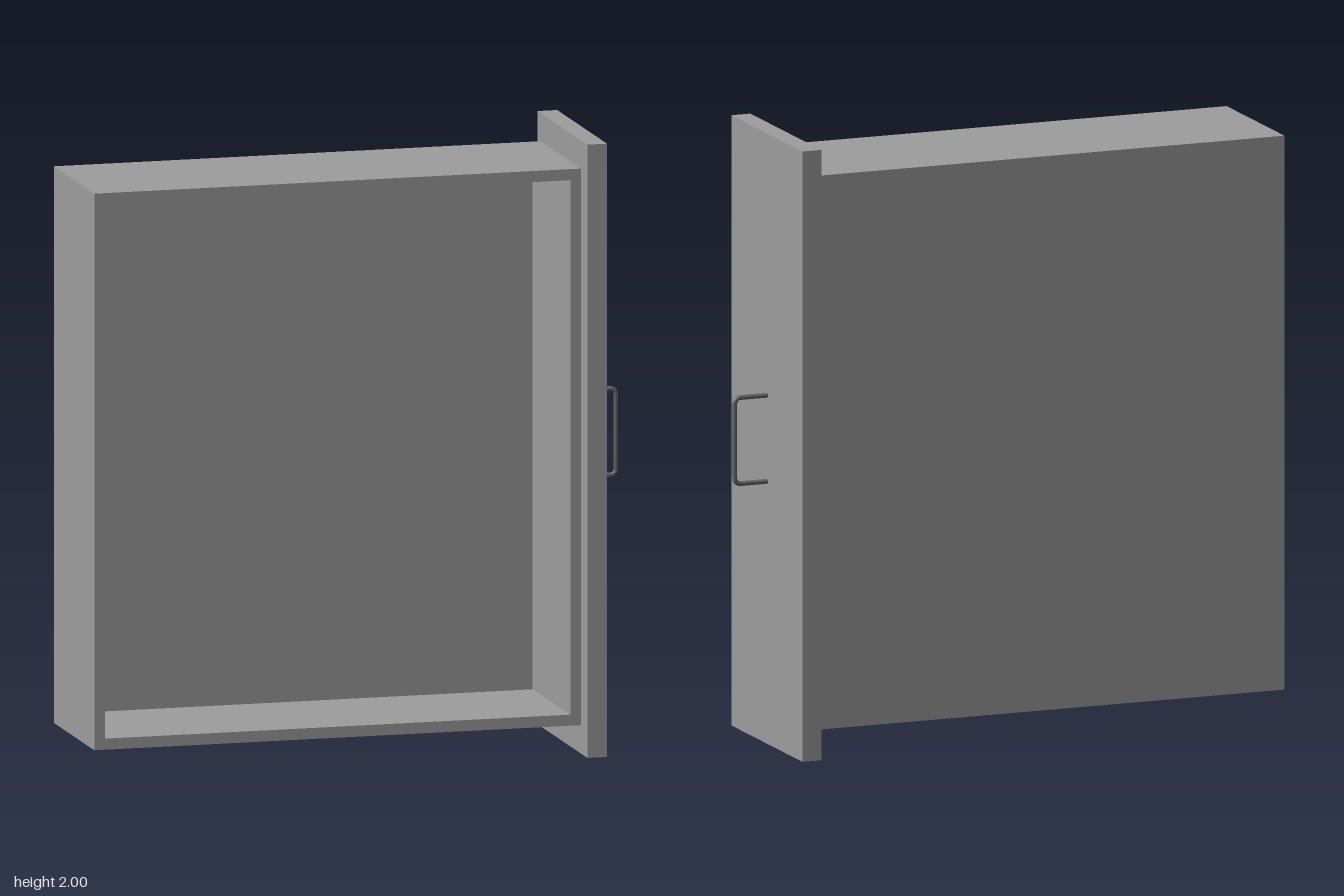
import * as THREE from 'three';

export function createModel() {
  const model = new THREE.Group();
  const board = new THREE.MeshStandardMaterial({ color: 0x9d9d9d });
  const metal = new THREE.MeshStandardMaterial({ color: 0x666666 });

  const add = (name, geometry, material = board) => {
    const mesh = new THREE.Mesh(geometry, material);
    mesh.name = name;
    model.add(mesh);
    return mesh;
  };
  const box = (name, [x0, x1], [y0, y1], [z0, z1]) =>
    add(name, new THREE.BoxGeometry(x1 - x0, y1 - y0, z1 - z0))
      .position.set((x0 + x1) / 2, (y0 + y1) / 2, (z0 + z1) / 2);

  // Drawer tray lying on its side: a rectangular frame open towards +z
  const L = -0.903, R = 0.715, B = 0.093, T = 1.908, back = -0.265, rim = 0.223, wall = 0.036;
  const rect = (Type, x0, y0, x1, y1) => new Type([
    new THREE.Vector2(x0, y0), new THREE.Vector2(x1, y0),
    new THREE.Vector2(x1, y1), new THREE.Vector2(x0, y1),
  ]);
  const frame = rect(THREE.Shape, L, B, R, T);
  frame.holes.push(rect(THREE.Path, L + wall, B + wall, R - wall, T - wall));
  add('trayWalls', new THREE.ExtrudeGeometry(frame, { depth: rim - back, bevelEnabled: false }))
    .position.z = back;

  // Bottom board, closing the tray within its walls
  box('trayBottom', [L + wall, R - wall], [B + wall, T - wall], [back, back + wall]);

  // Overhanging front panel
  box('frontPanel', [R, 0.78], [0, 2], [-0.3, 0.3]);

  // Bent-rod pull handle with rounded corners
  const rod = 0.008, x0 = 0.775, x1 = 0.892, y0 = 0.86, y1 = 1.142, bend = 0.022;
  const v = (x, y) => new THREE.Vector3(x, y, 0);
  const path = new THREE.CurvePath();
  path.add(new THREE.LineCurve3(v(x0, y0), v(x1 - bend, y0)));
  path.add(new THREE.QuadraticBezierCurve3(v(x1 - bend, y0), v(x1, y0), v(x1, y0 + bend)));
  path.add(new THREE.LineCurve3(v(x1, y0 + bend), v(x1, y1 - bend)));
  path.add(new THREE.QuadraticBezierCurve3(v(x1, y1 - bend), v(x1, y1), v(x1 - bend, y1)));
  path.add(new THREE.LineCurve3(v(x1 - bend, y1), v(x0, y1)));
  add('handle', new THREE.TubeGeometry(path, 100, rod, 12), metal);

  return model;
}
